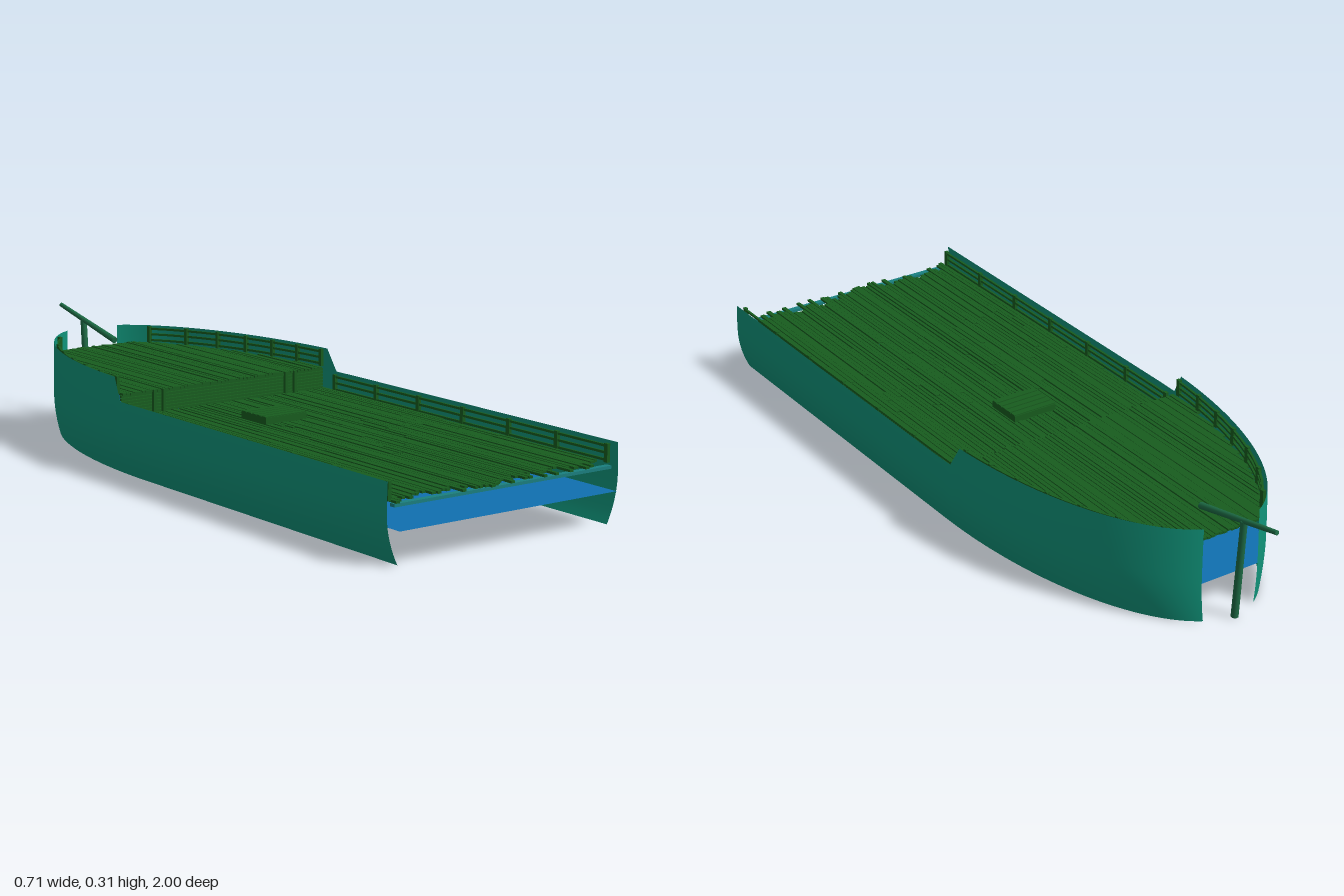
import * as THREE from 'three';

const paint = (color) => new THREE.MeshStandardMaterial({ color, side: THREE.DoubleSide });
const hullPaint = paint(0x10947a), floorPaint = paint(0x1070b0), beamPaint = paint(0x1a8080);
const woodPaint = paint(0x175c1e), sparPaint = paint(0x1d6b45);

// half width of the plan at z (straight aft, elliptical bow), relative to 1
const plan = (z) => (z >= -0.06 ? 1 : Math.sqrt(Math.max(0, 1 - ((z + 0.06) / 0.793) ** 2)));
// half width of the midship section at height y
const section = (y) => 0.357 - 0.032 * ((y - 0.125) / 0.125) ** 2 * (y < 0.125 ? 1 : 0.16);
// height of the hull side, stepping up at the foredeck
const sheer = (z) => 0.2 + 0.06 * THREE.MathUtils.clamp((-0.135 - z) / 0.035, 0, 1);

let seed = 7;
const rand = () => (seed = (seed * 16807) % 2147483647) / 2147483647;

function add(parent, name, geometry, material) {
  const mesh = new THREE.Mesh(geometry, material);
  mesh.name = name;
  parent.add(mesh);
  return mesh;
}

function box(parent, name, size, pos, material = woodPaint) {
  const mesh = add(parent, name, new THREE.BoxGeometry(...size), material);
  mesh.position.set(...pos);
  return mesh;
}

function group(parent, name) {
  const g = new THREE.Group();
  g.name = name;
  parent.add(g);
  return g;
}

// one curved hull side as a grid of cross-sections
function hullSide(side) {
  const rows = [0.98, 0.6, 0.3, 0, -0.06, -0.1, -0.135, -0.17];
  for (let i = 1; i <= 32; i++) rows.push(-0.17 - 0.66 * Math.sin((i / 32) * Math.PI / 2));
  const n = 14, pos = [], index = [];
  rows.forEach((z, i) => {
    for (let j = 0; j <= n; j++) {
      const y = (sheer(z) * j) / n;
      pos.push(side * section(y) * plan(z), y, z);
      if (i && j) {
        const d = i * (n + 1) + j, c = d - 1, b = d - n - 1, a = b - 1;
        if (side > 0) index.push(a, c, b, b, c, d);
        else index.push(a, b, c, b, d, c);
      }
    }
  });
  const g = new THREE.BufferGeometry();
  g.setAttribute('position', new THREE.Float32BufferAttribute(pos, 3));
  g.setIndex(index);
  g.computeVertexNormals();
  return g;
}

// rails on posts along the inside of a hull side
function railing(parent, name, side, z0, z1, heights, steps) {
  const g = group(parent, name);
  const at = (i) => {
    const z = z0 + ((z1 - z0) * i) / steps;
    return [side * (0.352 * plan(z) - 0.014), z];
  };
  const mid = (heights[0] + heights[heights.length - 1]) / 2;
  for (let i = 0; i <= steps; i++) {
    const [x, z] = at(i);
    if (i % 2 === 0) box(g, 'railPost', [0.009, 0.047, 0.012], [x, mid, z]);
    if (i === steps) break;
    const [x2, z2] = at(i + 1);
    for (const y of heights) {
      const rail = box(g, 'rail', [0.006, 0.006, Math.hypot(x2 - x, z2 - z)], [(x + x2) / 2, y, (z + z2) / 2]);
      rail.rotation.y = Math.atan2(x2 - x, z2 - z);
    }
  }
}

// round pole between two points
function pole(parent, name, a, b, r0, r1) {
  const p = new THREE.Vector3(...a), q = new THREE.Vector3(...b), d = q.clone().sub(p);
  const mesh = add(parent, name, new THREE.CylinderGeometry(r1, r0, d.length(), 12), sparPaint);
  mesh.position.copy(p).add(q).multiplyScalar(0.5);
  mesh.quaternion.setFromUnitVectors(new THREE.Vector3(0, 1, 0), d.normalize());
}

export function createModel() {
  const ship = new THREE.Group();
  ship.name = 'ship';

  for (const side of [1, -1]) {
    const label = side > 0 ? 'left' : 'right';
    add(ship, label + 'HullSide', hullSide(side), hullPaint);
    railing(ship, label + 'MainRailing', side, 0.96, -0.12, [0.155, 0.173, 0.19], 12);
    railing(ship, label + 'BowRailing', side, -0.18, -0.76, [0.219, 0.236, 0.252], 12);
  }

  // flat sheet low inside the hull
  const outline = [];
  for (let i = 0; i <= 24; i++) {
    const z = -0.8 * Math.cos((i / 24) * Math.PI / 2);
    outline.push([0.338 * plan(z), z]);
  }
  outline.push([0.335, 1]);
  const shape = new THREE.Shape([
    ...outline.map(([x, z]) => new THREE.Vector2(x, -z)),
    ...outline.reverse().map(([x, z]) => new THREE.Vector2(-x, -z)),
  ]);
  const sheet = new THREE.ShapeGeometry(shape);
  sheet.rotateX(-Math.PI / 2);
  sheet.translate(0, 0.085, 0);
  add(ship, 'lowerFloor', sheet, floorPaint);

  // main deck: uneven planks with narrow gaps, laid on crossbeams
  const mainDeck = group(ship, 'mainDeck');
  box(mainDeck, 'sternBeam', [0.67, 0.008, 0.016], [0, 0.141, 0.972], beamPaint);
  for (let i = 0; i < 11; i++) box(mainDeck, 'crossbeam', [0.66, 0.008, 0.016], [0, 0.141, -0.14 + i * 0.1]);
  const count = 54, pitch = 0.67 / count;
  for (let i = 0; i < count; i++) {
    const x = -0.335 + pitch * (i + 0.5);
    const joint = 0.15 + rand() * 0.5, end = 0.93 + rand() * 0.06;
    for (const [a, b] of [[-0.17, joint], [joint + 0.004, end]]) {
      const w = pitch * (0.68 + rand() * 0.3);
      box(mainDeck, 'deckPlank', [w, 0.006, b - a], [x, 0.148 + rand() * 0.003, (a + b) / 2]);
    }
  }

  // raised foredeck planks, cut to the bow curve
  const foredeck = group(ship, 'foredeck');
  for (let i = 0; i < count; i++) {
    const x = -0.326 + (0.652 / count) * (i + 0.5);
    const tip = -Math.min(0.8, 0.052 + 0.793 * Math.sqrt(1 - ((Math.abs(x) + 0.005) / 0.34) ** 2));
    if (tip > -0.18) continue;
    const w = 0.009 + rand() * 0.003;
    box(foredeck, 'foredeckPlank', [w, 0.006, -0.165 - tip], [x, 0.208 + rand() * 0.003, (tip - 0.165) / 2]);
  }

  // step between the decks
  const bulkhead = group(ship, 'bulkhead');
  for (let i = 0; i < 7; i++) box(bulkhead, 'bulkheadPlank', [0.66, 0.0065, 0.008], [0, 0.155 + i * 0.0083, -0.17]);
  for (const x of [-0.23, -0.2, 0.2, 0.23]) box(bulkhead, 'bulkheadPost', [0.008, 0.066, 0.01], [x, 0.18, -0.162]);

  // hatch with slatted lid and a short ladder below
  const hatch = group(ship, 'hatch');
  for (const z of [0.035, 0.135]) box(hatch, 'hatchEnd', [0.13, 0.02, 0.008], [-0.02, 0.16, z]);
  for (const x of [-0.081, 0.041]) box(hatch, 'hatchSide', [0.008, 0.02, 0.1], [x, 0.16, 0.085]);
  for (let i = 0; i < 5; i++) box(hatch, 'hatchSlat', [0.13, 0.005, 0.017], [-0.02, 0.17, 0.042 + i * 0.0215]);
  box(hatch, 'ladder', [0.018, 0.056, 0.02], [-0.018, 0.115, 0.085]).rotation.z = -0.4;

  // stem post and bowsprit
  pole(ship, 'stemPost', [0, 0, -0.855], [0, 0.278, -0.876], 0.01, 0.009);
  pole(ship, 'bowsprit', [0, 0.241, -0.71], [0, 0.305, -0.998], 0.009, 0.006);
  return ship;
}
